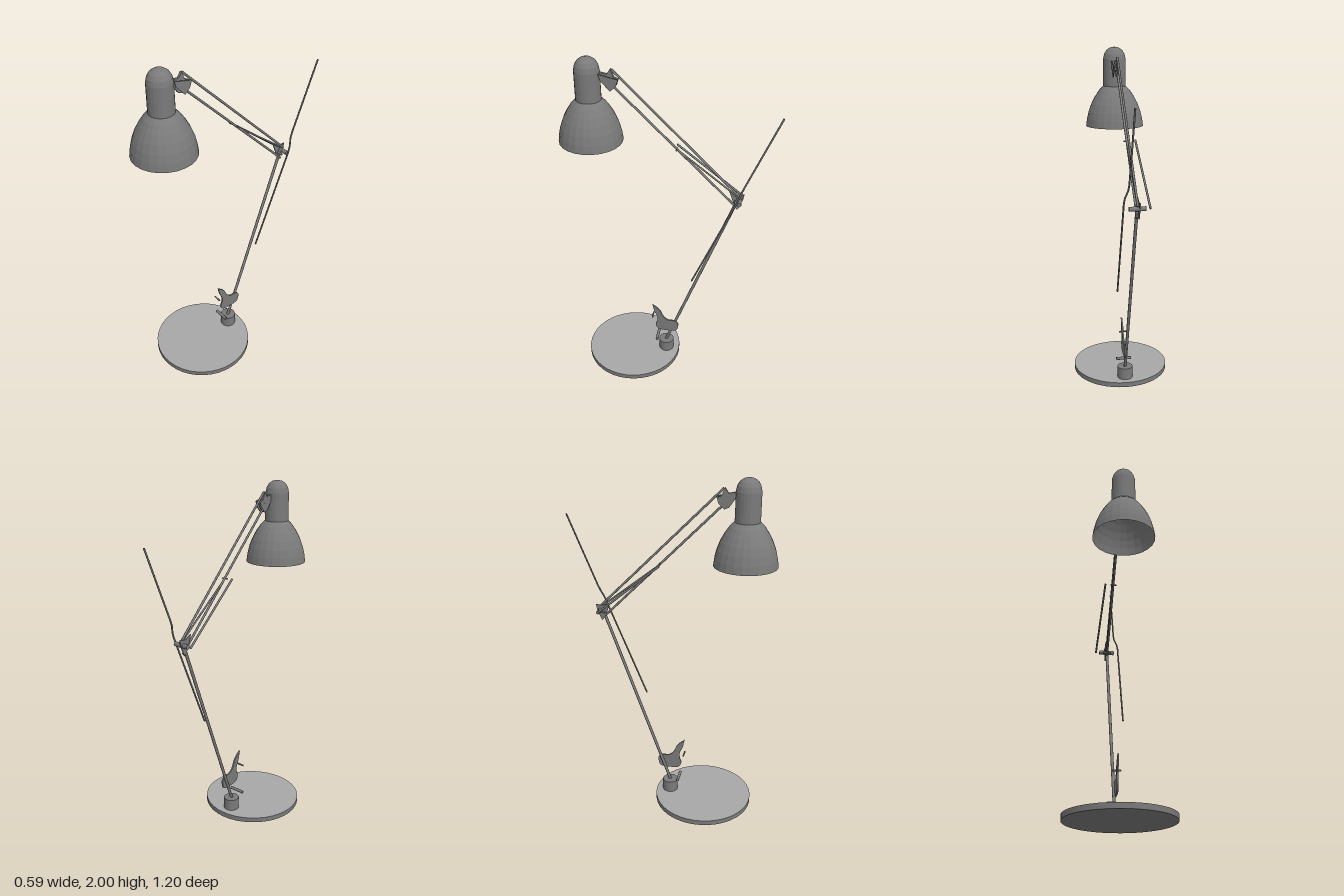
import * as THREE from 'three';

const DARK = 0x7a7a7a;
const grey = new THREE.MeshStandardMaterial({ color: DARK, side: THREE.DoubleSide });
const faceted = new THREE.MeshStandardMaterial({ color: DARK, side: THREE.DoubleSide, flatShading: true });
const lightGrey = new THREE.MeshStandardMaterial({ color: 0xa7a7a7 });

export function createModel() {
  const model = new THREE.Group();

  const add = (name, geometry, material = grey) => {
    const mesh = new THREE.Mesh(geometry, material);
    mesh.name = name;
    model.add(mesh);
    return mesh;
  };

  // Straight round bar between two points
  const rod = (name, a, b, radius, sides = 10) => {
    const from = new THREE.Vector3(...a);
    const dir = new THREE.Vector3(...b).sub(from);
    const mesh = add(name, new THREE.CylinderGeometry(radius, radius, dir.length(), sides));
    mesh.position.copy(from).addScaledVector(dir, 0.5);
    mesh.quaternion.setFromUnitVectors(new THREE.Vector3(0, 1, 0), dir.normalize());
  };

  // Crosswise pin centred on x = 0
  const pin = (name, y, z, half, radius) => rod(name, [-half, y, z], [half, y, z], radius, 12);

  // Flat plate standing in the y-z plane, outline given as [z, y]
  const plate = (name, outline, x, thickness, smooth = false) => {
    const pts = outline.map(([z, y]) => new THREE.Vector2(-z, y));
    const shape = new THREE.Shape();
    if (smooth) {
      shape.moveTo(pts[0].x, pts[0].y);
      shape.splineThru([...pts.slice(1), pts[0]]);
    } else shape.setFromPoints(pts);
    const geometry = new THREE.ExtrudeGeometry(shape, { depth: thickness, bevelEnabled: false, curveSegments: 40 });
    geometry.translate(0, 0, -thickness / 2).rotateY(Math.PI / 2);
    add(name, geometry).position.x = x;
  };

  // Round foot with a lighter top face, and the socket on it
  add('base', new THREE.CylinderGeometry(0.293, 0.293, 0.03, 40), [grey, lightGrey, grey]).position.set(0, 0.015, 0.223);
  add('socket', new THREE.CylinderGeometry(0.046, 0.046, 0.075, 24)).position.set(0, 0.0635, 0.013);

  // Lower arm with its wing-shaped spring bracket
  rod('lowerArm', [0, 0.08, 0.02], [0, 1.23, -0.395], 0.009);
  plate('springBracket', [
    [0.1, 0.387], [0.088, 0.335], [0.07, 0.29], [0.07, 0.255], [0.08, 0.228], [0.072, 0.2], [0.045, 0.185],
    [-0.042, 0.185], [-0.062, 0.215], [-0.062, 0.25], [-0.035, 0.268], [0.0, 0.27], [0.03, 0.295], [0.056, 0.348],
  ], 0.009, 0.009, true);
  pin('bracketPin', 0.293, 0.099, 0.024, 0.005);
  pin('basePin', 0.126, 0.068, 0.046, 0.009);

  // Elbow joint
  plate('elbowPlate', [[-0.34, 1.26], [-0.385, 1.24], [-0.425, 1.245], [-0.42, 1.215], [-0.392, 1.15], [-0.375, 1.165]], -0.01, 0.006);
  pin('elbowPin', 1.21, -0.4, 0.046, 0.013);
  pin('elbowInnerPin', 1.2, -0.378, 0.026, 0.007);

  // Parallel upper arm
  rod('upperArmTop', [0, 1.94, 0.295], [0, 1.225, -0.41], 0.0065);
  rod('upperArmBottom', [0, 1.865, 0.305], [0, 1.158, -0.392], 0.0065);
  pin('upperArmPin', 1.507, -0.045, 0.018, 0.004);

  // Tension springs: straight ones and a bent one
  rod('rightSpring', [-0.068, 1.21, -0.405], [-0.049, 1.51, -0.042], 0.006);
  rod('armStay', [0, 1.235, -0.39], [0, 1.507, -0.045], 0.005);
  const bend = [[0.07, 0.66, -0.15], [0.07, 1.235, -0.387], [0.066, 1.27, -0.4], [0.052, 1.31, -0.416], [0.048, 1.345, -0.431], [0.048, 1.75, -0.597]];
  const wire = new THREE.CurvePath();
  for (let i = 1; i < bend.length; i++) {
    wire.add(new THREE.LineCurve3(new THREE.Vector3(...bend[i - 1]), new THREE.Vector3(...bend[i])));
  }
  add('leftSpring', new THREE.TubeGeometry(wire, 120, 0.005, 8));

  // Joint between upper arm and lamp head
  plate('headBracket', [
    [0.365, 1.925], [0.32, 1.915], [0.3, 1.945], [0.283, 1.9], [0.258, 1.89], [0.268, 1.86], [0.3, 1.83], [0.325, 1.84], [0.355, 1.885],
  ], 0, 0.014);
  plate('headSidePlate', [[0.36, 1.92], [0.3, 1.905], [0.256, 1.895], [0.27, 1.858], [0.3, 1.83], [0.35, 1.885]], 0.025, 0.006);
  rod('headPin', [-0.008, 1.875, 0.297], [0.026, 1.875, 0.297], 0.008);

  // Lamp head: domed neck flaring into an open bell shade
  const profile = [
    [0.176, 1.53], [0.17, 1.575], [0.159, 1.62], [0.142, 1.665], [0.119, 1.708], [0.094, 1.745], [0.069, 1.77],
    [0.068, 1.93], [0.062, 1.958], [0.049, 1.98], [0.03, 1.994], [0.008, 2], [0, 2],
  ].map(([r, y]) => new THREE.Vector2(r, y));
  add('lampShade', new THREE.LatheGeometry(profile, 24), faceted).position.z = 0.425;

  return model;
}
